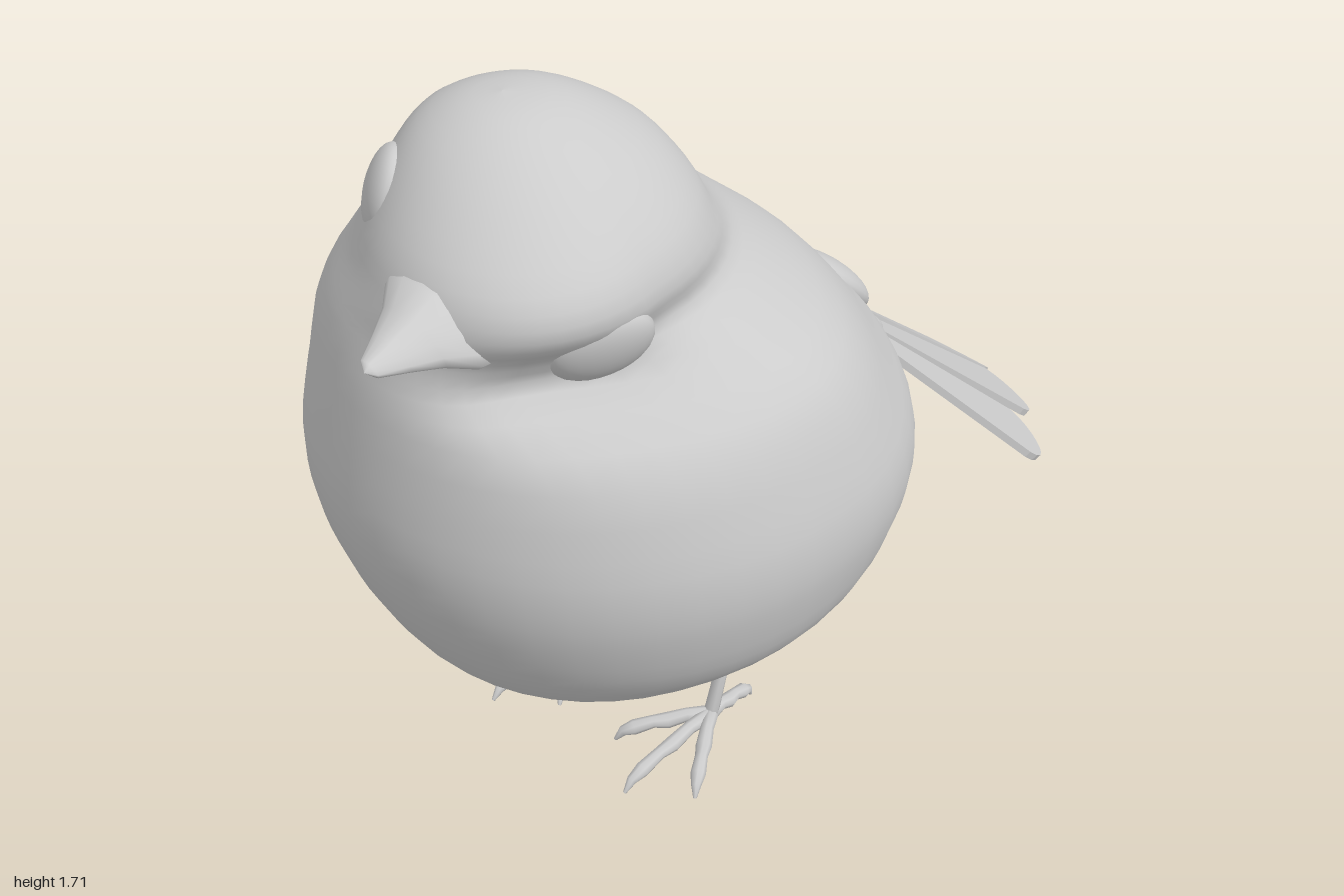
import * as THREE from 'three';

const V = (x, y, z) => new THREE.Vector3(x, y, z);
const material = new THREE.MeshStandardMaterial({ color: 0xcccccc });
const bump = (v, centre, width) => Math.exp(-(((v - centre) / width) ** 2));

function addMesh(parent, name, geometry) {
  const mesh = new THREE.Mesh(geometry, material);
  mesh.name = name;
  parent.add(mesh);
  return mesh;
}

// Smooth skin over a list of closed rings of points
function loft(rings) {
  const n = rings[0].length, index = [];
  for (let i = 0; i < rings.length - 1; i++) {
    for (let j = 0; j < n; j++) {
      const k = (j + 1) % n, a = i * n, b = a + n;
      index.push(a + j, b + j, a + k, a + k, b + j, b + k);
    }
  }
  const g = new THREE.BufferGeometry().setFromPoints(rings.flat());
  g.setIndex(index);
  g.computeVertexNormals();
  return g;
}

// Closed tube through points with a radius at each point
function taperTube(points, radii, ref, sides = 8) {
  const last = points.length - 1;
  const rings = points.map((p, i) => {
    const t = points[Math.min(i + 1, last)].clone().sub(points[Math.max(i - 1, 0)]).normalize();
    const u = ref.clone().cross(t).normalize(), v = u.clone().cross(t);
    return Array.from({ length: sides }, (_, j) => {
      const a = j / sides * Math.PI * 2;
      return p.clone().addScaledVector(u, Math.cos(a) * radii[i]).addScaledVector(v, Math.sin(a) * radii[i]);
    });
  });
  rings.unshift(rings[0].map(() => points[0].clone()));
  rings.push(rings[0].map(() => points[last].clone()));
  return loft(rings);
}

// Ellipsoid whose local z axis points along a direction
function ellipsoid(parent, name, pos, dir, scale) {
  const m = addMesh(parent, name, new THREE.SphereGeometry(1, 24, 16));
  m.position.copy(pos);
  m.quaternion.setFromUnitVectors(V(0, 0, 1), dir.clone().normalize());
  m.scale.set(...scale);
}

// Body and head outline: y, xMin, xMax, zBack, zFront
const sections = [
  [0.31, 0, 0, 0.27, 0.27],
  [0.318, -0.12, 0.12, 0.09, 0.42],
  [0.35, -0.24, 0.23, -0.05, 0.55],
  [0.41, -0.37, 0.36, -0.2, 0.67],
  [0.5, -0.48, 0.47, -0.325, 0.77],
  [0.62, -0.575, 0.575, -0.435, 0.84],
  [0.75, -0.615, 0.62, -0.49, 0.89],
  [0.87, -0.635, 0.635, -0.46, 0.915],
  [1.0, -0.62, 0.615, -0.36, 0.915],
  [1.2, -0.55, 0.54, -0.18, 0.885],
  [1.3, -0.485, 0.4, -0.07, 0.86],
  [1.36, -0.435, 0.33, 0, 0.845],
  [1.43, -0.375, 0.345, 0.09, 0.835],
  [1.51, -0.32, 0.32, 0.14, 0.805],
  [1.6, -0.26, 0.24, 0.205, 0.73],
  [1.67, -0.2, 0.14, 0.3, 0.65],
  [1.71, -0.12, 0.05, 0.39, 0.57],
  [1.722, -0.035, -0.035, 0.49, 0.49],
];

function bodyGeometry() {
  const curve = (a, b) => new THREE.CatmullRomCurve3(
    sections.map(s => V(s[0], s[a], s[b])), false, 'catmullrom', 0.5);
  const sides = curve(1, 2), depth = curve(3, 4);
  const rings = [], steps = (sections.length - 1) * 3;
  for (let i = 0; i <= steps; i++) {
    const { x: y, y: xMin, z: xMax } = sides.getPoint(i / steps);
    const { y: zBack, z: zFront } = depth.getPoint(i / steps);
    const zMid = 0.27 + 0.22 * THREE.MathUtils.smoothstep(y, 1.1, 1.5);
    // The face turns to the left, the rump leans to the left and narrows to a point
    const turn = 0.07 * bump(y, 1.45, 0.14), lean = 0.04 * bump(y, 0.85, 0.25);
    const power = 1 + 0.5 * THREE.MathUtils.clamp((1.4 - y) / 0.4, 0, 1);
    rings.push(Array.from({ length: 48 }, (_, j) => {
      const a = j / 48 * Math.PI * 2, s = Math.sin(a), c = Math.cos(a), back = s < 0;
      const w = Math.sign(c) * Math.abs(c) ** (back ? power : 1);
      // Hollow of the neck under the left cheek
      const off = Math.atan2(Math.sin(a - 0.65), Math.cos(a - 0.65));
      const hollow = 0.11 * bump(y, 1.27, 0.065) * bump(off, 0, 0.5);
      const x = (xMin + xMax) / 2 + w * (xMax - xMin) / 2 + Math.abs(s) * (back ? lean : turn);
      return V(x - hollow, y, zMid + s * (back ? zMid - zBack : zFront - zMid));
    }));
  }
  return loft(rings);
}

// Beak: tilted rounded diamond shrinking to a blunt point
function beakGeometry() {
  const base = V(0.075, 1.415, 0.74), tip = V(0.14, 1.445, 1);
  const wide = V(0.125, -0.05, -0.01), up = V(0.03, 0.085, 0.02);
  const stages = [[0, 1], [0.22, 0.92], [0.45, 0.6], [0.7, 0.37], [0.94, 0.17], [1, 0]];
  return loft(stages.map(([t, k]) => Array.from({ length: 16 }, (_, j) => {
    const a = -j / 16 * Math.PI * 2, c = Math.cos(a), s = Math.sin(a);
    return base.clone().lerp(tip, t)
      .addScaledVector(wide, k * Math.sign(c) * Math.abs(c) ** 1.3)
      .addScaledVector(up, k * Math.sign(s) * Math.abs(s) ** 1.3);
  })));
}

// Tail: five round-ended feathers in a drooping fan
function makeTail() {
  const tail = new THREE.Group();
  tail.name = 'tail';
  const tips = [V(-0.28, 0.41, -0.85), V(-0.11, 0.385, -0.96), V(0.08, 0.375, -0.995),
    V(0.28, 0.385, -0.94), V(0.44, 0.41, -0.79)];
  tips.forEach((tip, i) => {
    const out = Math.abs(i - 2), w = 0.1;
    const root = V(0.05 + (i - 2) * 0.035, 0.895 - out * 0.01, -0.37);
    const dir = tip.clone().sub(root), length = dir.length();
    dir.normalize();
    const side = tips[Math.min(i + 1, 4)].clone().sub(tips[Math.max(i - 1, 0)]);
    side.addScaledVector(dir, -side.dot(dir)).normalize();
    const shape = new THREE.Shape();
    shape.moveTo(-0.025, 0);
    shape.lineTo(0.025, 0);
    shape.lineTo(w, length - 0.08);
    shape.bezierCurveTo(w, length + 0.02, -w, length + 0.02, -w, length - 0.08);
    const g = new THREE.ExtrudeGeometry(shape, { depth: 0.018, bevelEnabled: false, curveSegments: 10 });
    g.translate(0, 0, -0.009 - out * 0.006);
    const m = addMesh(tail, 'tailFeather', g);
    m.quaternion.setFromRotationMatrix(
      new THREE.Matrix4().makeBasis(side, dir, side.clone().cross(dir)));
    m.position.copy(root);
  });
  // Short feathers covering the tail root
  ellipsoid(tail, 'tailCovert', V(0.055, 0.925, -0.385), V(0, -0.68, -0.7), [0.1, 0.05, 0.16]);
  for (const s of [-1, 1]) {
    ellipsoid(tail, 'sideCovert', V(0.045 + s * 0.125, 0.875, -0.33), V(s * 0.1, -0.45, -0.8), [0.05, 0.04, 0.12]);
  }
  return tail;
}

// Leg with a bent joint, three front toes and one back toe
function makeLeg(name, x) {
  const leg = new THREE.Group();
  leg.name = name;
  leg.position.x = x;
  addMesh(leg, 'shank', taperTube(
    [V(0, 0.38, 0.22), V(0, 0.33, 0.195), V(0, 0.24, 0.135), V(0, 0.15, 0.16), V(0, 0.055, 0.19)],
    [0.022, 0.021, 0.02, 0.016, 0.018], V(1, 0, 0)));
  for (const [tx, tz] of [[-0.14, 0.37], [-0.01, 0.475], [0.12, 0.38], [0, 0.045]]) {
    const at = (t, y) => V(tx * t, y, 0.19 + (tz - 0.19) * t);
    addMesh(leg, 'toe', taperTube(
      [at(0, 0.055), at(0.25, 0.06), at(0.45, 0.05), at(0.6, 0.052), at(0.8, 0.042), at(0.92, 0.034), at(1, 0.01)],
      [0.019, 0.016, 0.019, 0.015, 0.018, 0.012, 0.004], V(0, 1, 0)));
  }
  return leg;
}

export function createModel() {
  const bird = new THREE.Group();
  bird.name = 'bird';
  addMesh(bird, 'body', bodyGeometry());
  addMesh(bird, 'beak', beakGeometry());
  ellipsoid(bird, 'leftEye', V(0.29, 1.355, 0.58), V(0.85, -0.4, 0.38), [0.105, 0.092, 0.045]);
  ellipsoid(bird, 'rightEye', V(-0.17, 1.54, 0.675), V(-0.6, 0.3, 0.7), [0.088, 0.092, 0.04]);
  bird.add(makeTail(), makeLeg('rightLeg', -0.215), makeLeg('leftLeg', 0.22));
  return bird;
}
